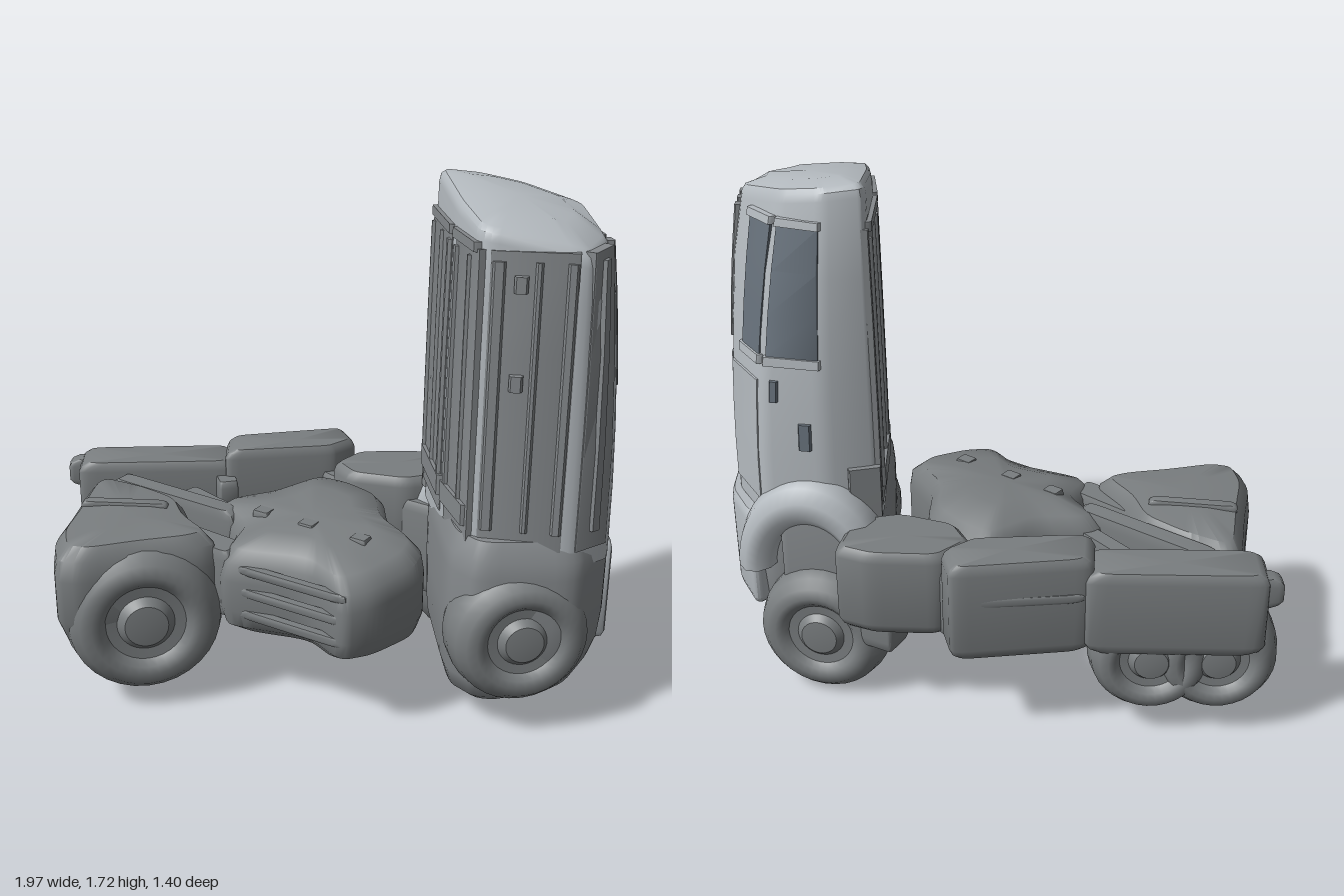
import * as THREE from 'three';
import { toCreasedNormals } from 'three/addons/utils/BufferGeometryUtils.js';

const paint = (color) => new THREE.MeshStandardMaterial({ color });
const chassisMat = paint(0x7a7e80), cabMat = paint(0xb4babf), cabDark = paint(0x85898c), glassMat = paint(0x68727c);
const V = (p) => new THREE.Vector2(p[0], p[1]);

// Replace every corner of an [x, z] outline by a small arc
function roundOutline(pts, f) {
  const out = [], n = pts.length;
  pts.forEach((p, i) => {
    const c = V(p), a = c.clone().lerp(V(pts[(i + n - 1) % n]), f), b = c.clone().lerp(V(pts[(i + 1) % n]), f);
    new THREE.QuadraticBezierCurve(a, c, b).getPoints(4).forEach((q) => out.push(q));
  });
  return out;
}

// Skin a stack of levels [y, outline, scale]; drop(x, z, y) offsets the height of each vertex
function loft(name, levels, { round = 0.3, drop = () => 0, crease = 0.7, mat = chassisMat } = {}) {
  const pos = [], idx = [];
  let n = 0;
  const flip = THREE.ShapeUtils.area(levels[0][1].map(V)) > 0;
  for (const [y, outline, s = 1] of levels) {
    let ring = round ? roundOutline(outline, round) : outline.map(V);
    if (flip) ring = ring.reverse();
    n = ring.length;
    const c = ring.reduce((m, p) => m.add(p), new THREE.Vector2()).divideScalar(n);
    for (const p of ring) {
      p.sub(c).multiplyScalar(s).add(c);
      pos.push(p.x, y + drop(p.x, p.y, y), p.y);
    }
    pos.push(c.x, y + drop(c.x, c.y, y), c.y);
  }
  const m = n + 1, L = levels.length - 1;
  for (let i = 0; i < n; i++) {
    const j = (i + 1) % n;
    for (let k = 0; k < L; k++) {
      const a = k * m + i, b = k * m + j;
      idx.push(a, b, b + m, a, b + m, a + m);
    }
    idx.push(n, j, i, L * m + n, L * m + i, L * m + j);
  }
  const g = new THREE.BufferGeometry();
  g.setAttribute('position', new THREE.Float32BufferAttribute(pos, 3));
  g.setIndex(idx);
  const mesh = new THREE.Mesh(toCreasedNormals(g, crease), mat);
  mesh.name = name;
  return mesh;
}

// Block with softened top and bottom edges
function block(name, outline, y0, y1, opts) {
  const e = Math.min(0.035, (y1 - y0) * 0.25);
  return loft(name, [[y0, outline, 0.86], [y0 + e * 0.4, outline, 0.95], [y0 + e, outline], [y1 - e, outline],
    [y1 - e * 0.4, outline, 0.96], [y1, outline, 0.88]], opts);
}

// Straight bar or plate from a to b on the ground plan, of thickness t
function bar(name, a, b, t, y0, y1, mat) {
  const d = V(b).sub(V(a)).normalize().multiplyScalar(t / 2);
  return block(name, [[a[0] - d.y, a[1] + d.x], [b[0] - d.y, b[1] + d.x], [b[0] + d.y, b[1] - d.x], [a[0] + d.y, a[1] - d.x]],
    y0, y1, { round: 0.12, mat });
}

// Soft tyre with a shallow rim and hub, axle pointing along (ax, az)
function wheel(name, x, y, z, R, w, ax, az) {
  const prof = [[0, -w], [0.75, -w], [0.92, -0.75 * w], [1, -0.3 * w], [1, 0.2 * w], [0.94, 0.65 * w], [0.82, 0.92 * w], [0.68, w],
    [0.58, 0.95 * w], [0.5, 0.78 * w], [0.36, 0.76 * w], [0.27, 0.95 * w], [0, w]].map(([r, h]) => new THREE.Vector2(r * R, h));
  const mesh = new THREE.Mesh(toCreasedNormals(new THREE.LatheGeometry(prof, 32), 0.7), chassisMat);
  mesh.quaternion.setFromUnitVectors(new THREE.Vector3(0, 1, 0), new THREE.Vector3(ax, 0, az).normalize());
  mesh.position.set(x, y, z);
  mesh.name = name;
  return mesh;
}

// Cab plan at its base and at its roof
const cabBase = [[0.25, -0.38], [0.36, -0.52], [0.55, -0.62], [0.79, -0.52], [0.99, -0.25], [0.92, -0.09], [0.62, 0.03], [0.45, -0.13]];
const cabRoof = [[0.26, -0.38], [0.36, -0.46], [0.51, -0.49], [0.74, -0.44], [0.9, -0.27], [0.91, -0.1], [0.62, 0.03], [0.46, -0.13]];
const cabPlan = (y) => {
  const t = Math.max(0, (y - 0.65) / 1.05) ** 2;
  return cabBase.map((p, i) => V(p).lerp(V(cabRoof[i]), t).toArray());
};

// Raised strip on cab wall i, between fractions t0 and t1 of its length
function wallStrip(name, i, t0, t1, y0, y1, depth, mat = cabMat) {
  const outline = (y) => {
    const plan = cabPlan(y), a = V(plan[i]), b = V(plan[(i + 1) % 8]);
    const d = b.clone().sub(a).normalize();
    const out = new THREE.Vector2(d.y, -d.x);
    const at = (t, o) => a.clone().lerp(b, t).addScaledVector(out, o).toArray();
    return [at(t0, -0.03), at(t0, depth * 0.4), at(t0 + 0.02, depth), at(t1 - 0.02, depth), at(t1, depth * 0.4), at(t1, -0.03)];
  };
  const ys = [0, 1, 2, 3].map((k) => y0 + (y1 - y0) * k / 3);
  return loft(name, ys.map((y) => [y, outline(y)]), { round: 0, mat });
}

export function createModel() {
  const g = new THREE.Group();
  g.name = 'truck';
  const add = (...m) => g.add(...m);

  // Tall cab with a roof falling towards the front and the back right corner
  const roofDrop = (x, z, y) => (y > 1.5 ? -0.15 * (x - 0.33) - 0.08 * Math.max(0, z + 0.25) - 0.25 * Math.max(0, x - 0.75) : 0);
  const levels = [0.6, 0.66, 0.85, 1.05, 1.25, 1.45, 1.69].map((y) => [y, cabPlan(y)]);
  levels.push([1.715, cabRoof, 0.98], [1.73, cabRoof, 0.92], [1.745, cabRoof, 0.6]);
  add(loft('cab', levels, { drop: roofDrop, crease: 0.6, round: 0.17, mat: cabMat }));

  // Lower cab body, its underside rising towards the front
  const lower = [[0.27, -0.36], [0.37, -0.5], [0.56, -0.62], [0.78, -0.53], [0.98, -0.28], [0.95, -0.09], [0.69, 0.08], [0.56, 0.04]];
  const sillRise = (x, z, y) => (y < 0.3 ? 0.4 * Math.max(0, 0.72 * x - 0.69 * z - 0.62) : 0);
  add(loft('lowerCab', [[0.1, lower, 0.78], [0.13, lower, 0.89], [0.2, lower, 0.97], [0.4, lower], [0.57, lower], [0.63, lower, 0.98], [0.69, lower, 0.9]],
    { drop: sillRise, round: 0.22, mat: cabDark }));
  add(block('bumper', [[0.6, -0.65], [0.79, -0.56], [0.98, -0.33], [0.88, -0.27], [0.6, -0.5]], 0.25, 0.62, { round: 0.2, mat: cabMat }));

  // Door window and windscreen with bars above and below
  for (const [name, i, a, b] of [['doorWindow', 1, 0.06, 0.94], ['windscreen', 2, 0.08, 0.6]]) {
    add(wallStrip(name, i, a, b, 1.19, 1.6, 0.005, glassMat));
    add(wallStrip(name + 'Sill', i, a - 0.04, b + 0.04, 1.16, 1.19, 0.012));
    add(wallStrip(name + 'Header', i, a - 0.04, b + 0.04, 1.6, 1.625, 0.012));
  }
  add(wallStrip('doorHandle', 1, 0.2, 0.4, 0.88, 0.97, 0.012, glassMat), wallStrip('doorStep', 1, 0.72, 0.86, 1.04, 1.11, 0.012, glassMat));
  add(wallStrip('frontPanel', 2, 0.12, 0.92, 0.68, 1.1, 0.006), wallStrip('frontPanelRight', 3, 0.12, 0.85, 0.68, 1.1, 0.006));
  for (const t of [0.1, 0.42, 0.72]) add(wallStrip('frontSlat', 3, t, t + 0.17, 1.16, 1.6, 0.008, cabDark));

  // Darker cladding and vertical ribs on the back and right walls
  for (const [i, a, b] of [[7, 0.08, 1], [6, 0, 0.9], [5, 0.1, 0.9], [4, 0.15, 0.9]]) add(wallStrip('cladding', i, a, b, 0.66, 1.6, 0.004, cabDark));
  for (const [i, t, w] of [[7, 0.14, 0.1], [7, 0.5, 0.05], [7, 0.92, 0.06], [6, 0.3, 0.07], [6, 0.82, 0.12], [5, 0.16, 0.1], [5, 0.46, 0.07], [5, 0.82, 0.12], [4, 0.5, 0.2]])
    add(wallStrip('cabRib', i, t - w / 2, t + w / 2, 0.72, 1.57, 0.014, cabDark));
  for (const i of [6, 7]) add(wallStrip('backTopRail', i, 0.05, 0.95, 1.59, 1.62, 0.014, cabDark), wallStrip('backLowRail', i, 0.05, 0.95, 0.72, 0.79, 0.016, cabDark));
  for (const y of [1.18, 1.48]) add(wallStrip('hinge', 5, 0.55, 0.68, y, y + 0.05, 0.025, cabDark));
  add(wallStrip('cornerBulge', 0, 0, 0.6, 0.62, 0.81, 0.02, cabDark));

  // Front wheels, the left one under a deep arch
  add(wheel('frontWheelRight', 0.76, 0.36, -0.07, 0.23, 0.12, 0.66, 0.75));
  add(wheel('frontWheelLeft', 0.37, 0.24, -0.54, 0.225, 0.11, -0.42, -0.91));
  const arch = new THREE.Mesh(new THREE.TorusGeometry(0.235, 0.08, 10, 24, Math.PI), cabMat);
  arch.name = 'frontArchLeft';
  arch.position.set(0.42, 0.44, -0.53);
  arch.rotation.y = Math.atan2(-0.42, -0.91);
  arch.scale.set(0.85, 1.06, 1.15);
  add(arch);
  add(bar('wheelHousing', [0.3, -0.46], [0.52, -0.55], 0.16, 0.28, 0.68, cabDark));

  // Central chassis hump, lower towards its outer side
  const hump = [[-0.13, -0.3], [0, -0.31], [0.16, -0.27], [0.27, -0.11], [0.46, -0.02], [0.48, 0.08], [0.43, 0.25], [0.36, 0.34],
    [0.19, 0.27], [-0.08, 0.35], [-0.13, 0.32], [-0.16, 0.17], [-0.33, 0.09], [-0.32, 0.03], [-0.19, -0.1]];
  const humpDrop = (x, z, y) => (y > 0.45 ? -0.12 * Math.max(0, z + 0.1) : 0);
  add(loft('chassisHump', [[0.26, hump, 0.75], [0.3, hump, 0.95], [0.36, hump], [0.52, hump], [0.58, hump, 0.97], [0.62, hump, 0.85], [0.645, hump, 0.5]], { drop: humpDrop }));
  for (const y of [0.34, 0.42, 0.5]) add(bar('tankRib', [-0.04, 0.32], [0.36, 0.31], 0.03, y, y + 0.03));
  for (const x of [-0.1, 0.08, 0.28]) add(bar('humpBolt', [x - 0.03, 0.1], [x + 0.03, 0.1], 0.05, 0.56, 0.625));

  // Boxes along the left side of the chassis
  add(block('sideBox', [[-0.52, -0.27], [-0.2, -0.58], [-0.1, -0.5], [-0.13, -0.39], [-0.43, -0.13]], 0.34, 0.68, { round: 0.13 }));
  add(bar('sideBoxTrim', [-0.49, -0.28], [-0.2, -0.55], 0.04, 0.53, 0.56));
  add(block('frontSideBox', [[-0.11, -0.35], [-0.09, -0.49], [0.1, -0.62], [0.22, -0.65], [0.3, -0.48], [0.2, -0.35], [0, -0.29]], 0.34, 0.64, { round: 0.2 }));
  add(bar('boxLink', [-0.17, -0.44], [-0.04, -0.4], 0.14, 0.34, 0.58));
  add(bar('cabLink', [0.16, -0.43], [0.45, -0.42], 0.16, 0.22, 0.56));
  add(bar('airTank', [0.08, -0.5], [0.2, -0.52], 0.12, 0.24, 0.4));

  // Left rear panel over its pair of wheels
  add(bar('rearPanelLeft', [-0.92, 0.1], [-0.46, -0.23], 0.17, 0.34, 0.635));
  add(bar('rearPanelLip', [-0.975, 0.1], [-0.53, -0.24], 0.07, 0.51, 0.615));
  for (const [x, z] of [[-0.77, 0.07], [-0.6, -0.06]])
    add(wheel('rearWheelLeft', x, 0.295, z, 0.2, 0.13, -0.6, -0.8));

  // Right rear body with its large wheel
  const rear = [[-0.83, 0.12], [-0.62, 0.1], [-0.43, 0.12], [-0.3, 0.23], [-0.13, 0.3], [-0.17, 0.38], [-0.3, 0.52],
    [-0.42, 0.67], [-0.5, 0.7], [-0.6, 0.6], [-0.68, 0.42]];
  add(loft('rearBody', [[0.2, rear, 0.72], [0.27, rear, 0.9], [0.35, rear], [0.5, rear], [0.57, rear, 0.96], [0.61, rear, 0.82], [0.62, rear, 0.4]]));
  add(wheel('rearWheelRight', -0.36, 0.33, 0.44, 0.265, 0.14, 0.7, 0.7));
  add(bar('rearRidge', [-0.66, 0.38], [-0.4, 0.24], 0.04, 0.58, 0.63));

  // Axles and links joining the rear to the middle
  add(bar('rearCrossbar', [-0.75, 0.1], [-0.2, 0.11], 0.07, 0.45, 0.6));
  add(bar('rearLink', [-0.36, 0.26], [-0.08, 0.28], 0.1, 0.32, 0.56));
  add(bar('rearAxle', [-0.7, -0.02], [-0.5, 0.4], 0.18, 0.22, 0.46));
  add(bar('frameRail', [-0.52, -0.02], [-0.25, 0.05], 0.06, 0.42, 0.56));
  add(bar('sideStrut', [-0.5, -0.2], [-0.39, -0.1], 0.07, 0.48, 0.58));
  return g;
}
